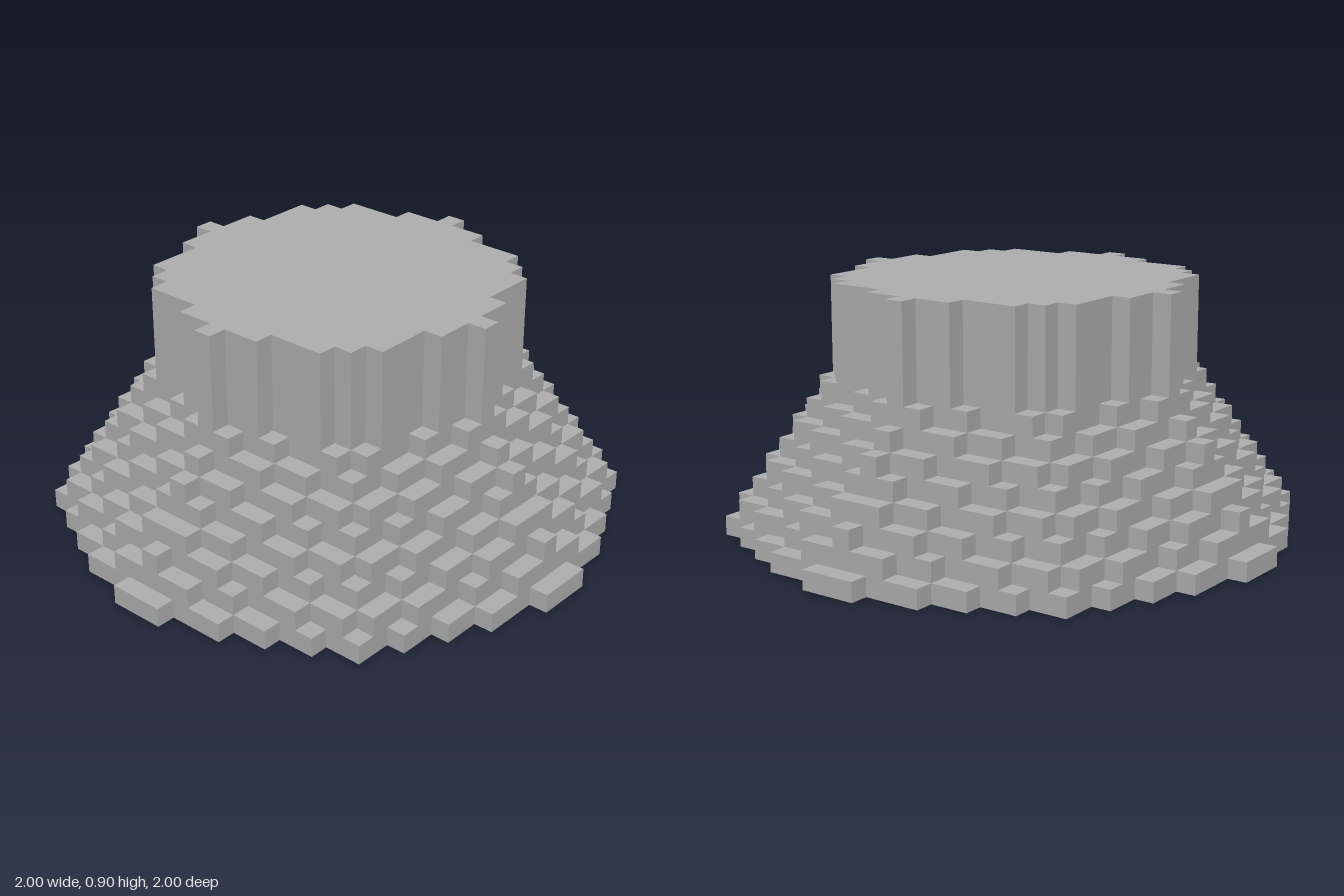
import * as THREE from 'three';

const CELL = 2 / 29;          // size of one block
const K = Math.SQRT2 - 1;     // slope of an octagon edge (corners on the axes)

// Widest block index in row z of an octagon of radius r, or -1 when empty
function rowReach(z, r) {
  for (let x = Math.floor(r); x >= 0; x--) {
    if (Math.max(x, z) + K * Math.min(x, z) <= r) return x;
  }
  return -1;
}

// Stepped outline of a block-built octagon
function steppedOctagon(r) {
  const n = Math.floor(r);
  const right = [];
  for (let z = -n; z <= n; z++) {
    const w = rowReach(Math.abs(z), r) + 0.5;
    const last = right[right.length - 1];
    if (last && last.x === w) last.y = z + 0.5;
    else right.push(new THREE.Vector2(w, z - 0.5), new THREE.Vector2(w, z + 0.5));
  }
  const left = right.map(p => new THREE.Vector2(-p.x, p.y)).reverse();
  return new THREE.Shape([...right, ...left].map(p => p.multiplyScalar(CELL)));
}

export function createModel() {
  const group = new THREE.Group();
  group.name = 'steppedMound';
  const stone = new THREE.MeshStandardMaterial({ color: 0xb0b0b0 });
  stone.name = 'stone grey';

  // A slab of blocks from one level, a number of blocks high
  const addSlab = (name, radius, level, height) => {
    const geometry = new THREE.ExtrudeGeometry(steppedOctagon(radius), {
      depth: height * CELL, bevelEnabled: false,
    });
    geometry.rotateX(-Math.PI / 2);
    const mesh = new THREE.Mesh(geometry, stone);
    mesh.name = name;
    mesh.position.y = level * CELL;
    group.add(mesh);
  };

  // Sloping base, one block per layer
  for (let i = 0; i < 8; i++) addSlab(`slopeLayer${i + 1}`, 14.7 - 0.722 * i, i, 1);

  // Upright column with a flat top
  addSlab('column', 9.15, 8, 5);

  return group;
}
